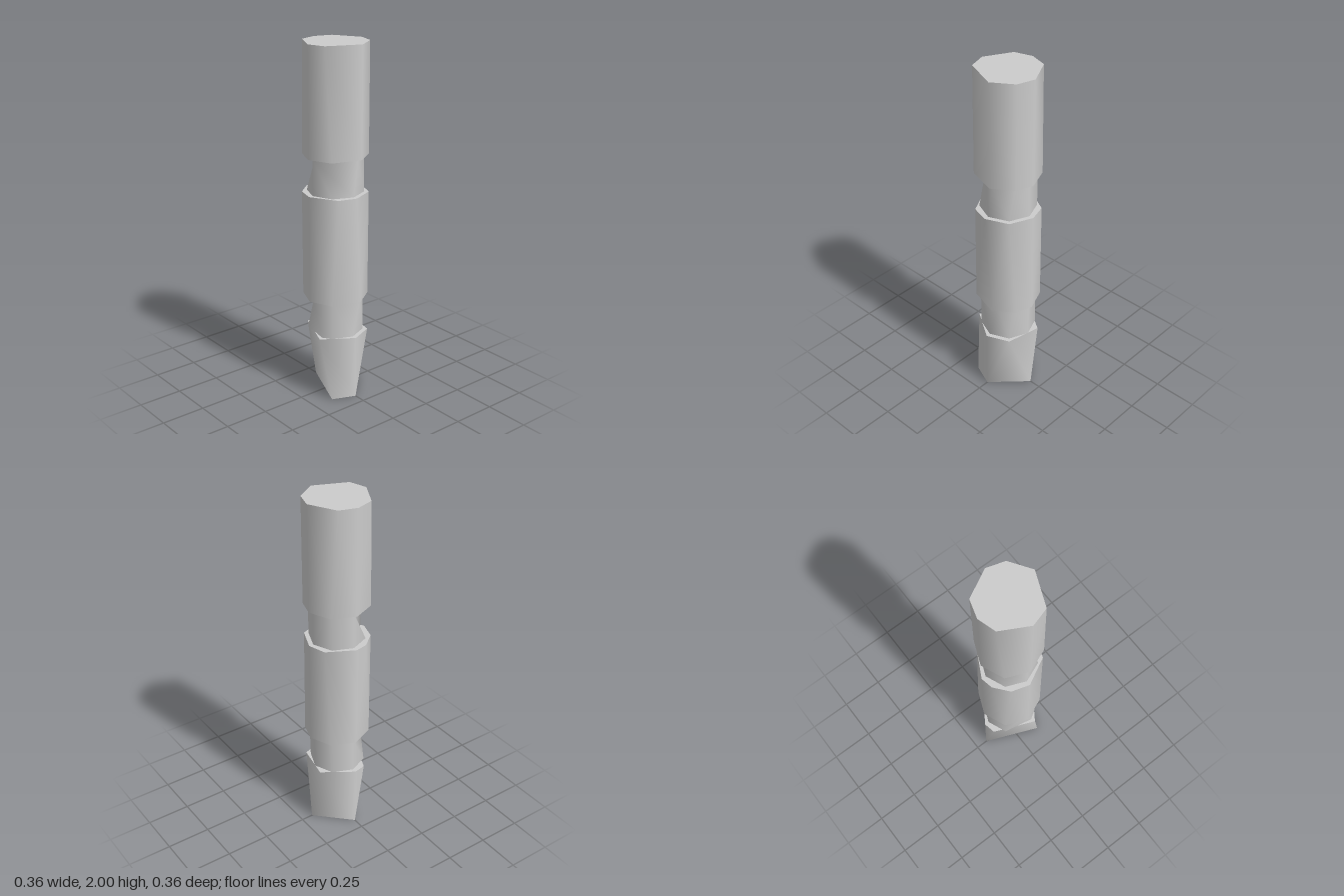
import * as THREE from 'three';

const SIDES = 32;

// Corner k of a 32-step circle; k grows counterclockwise seen from above
const corner = (k, r, y) => {
  const a = (k / SIDES) * Math.PI * 2;
  return [r * Math.cos(a), y, -r * Math.sin(a)];
};

// Wall between two irregular rings, with smooth radial normals
function wall(low, y0, high, y1, r) {
  const pos = [], nor = [], idx = [];
  const add = (ks, y) => {
    [...ks, ks[0] + SIDES].forEach((k) => {
      pos.push(...corner(k, r, y));
      nor.push(...corner(k, 1, 0));
    });
  };
  add(low, y0);
  add(high, y1);
  const n = low.length, m = high.length, top = n + 1;
  const at = (ks, i) => (i < ks.length ? ks[i] : ks[i - ks.length] + SIDES);
  let i = 0, j = 0;
  while (i < n || j < m) {
    const stepLow = j >= m || (i < n && at(low, i + 1) <= at(high, j + 1));
    if (stepLow) {
      idx.push(i, i + 1, top + j);
      i++;
    } else {
      idx.push(i, top + j + 1, top + j);
      j++;
    }
  }
  return build(pos, nor, idx);
}

// Flat polygon closing a ring, facing up (1) or down (-1)
function cap(ks, y, r, dir) {
  const pos = [], nor = [], idx = [];
  ks.forEach((k, i) => {
    pos.push(...corner(k, r, y));
    nor.push(0, dir, 0);
    if (i > 1) idx.push(0, ...(dir > 0 ? [i - 1, i] : [i, i - 1]));
  });
  return build(pos, nor, idx);
}

function build(pos, nor, idx) {
  const g = new THREE.BufferGeometry();
  g.setAttribute('position', new THREE.Float32BufferAttribute(pos, 3));
  g.setAttribute('normal', new THREE.Float32BufferAttribute(nor, 3));
  g.setIndex(idx);
  return g;
}

export function createModel() {
  const model = new THREE.Group();
  model.name = 'post';
  const grey = new THREE.MeshStandardMaterial({ color: 0xcccccc, side: THREE.DoubleSide });
  grey.name = 'grey';

  const R = 0.182, N = 0.156;
  // Thick drums and narrow necks from the ground up; the lowest end is open
  const sections = [
    { name: 'baseDrum', r: R, y0: 0, y1: 0.365, low: [0, 8, 16, 28], high: [0, 4, 10, 16, 18, 26], caps: [0, 1] },
    { name: 'lowerNeck', r: N, y0: 0.365, y1: 0.575, low: [0, 4, 8, 12, 16, 20, 26, 28], high: [2, 5, 8, 12, 16, 24, 28], caps: [0, 0] },
    { name: 'middleDrum', r: R, y0: 0.575, y1: 1.185, low: [1, 5, 8, 12, 16, 20, 24, 28], high: [0, 4, 8, 11, 16, 18, 21, 24, 29], caps: [1, 1] },
    { name: 'upperNeck', r: N, y0: 1.185, y1: 1.39, low: [0, 4, 8, 12, 16, 20, 24, 28], high: [1, 5, 8, 12, 16, 24], caps: [0, 0] },
    { name: 'topDrum', r: R, y0: 1.39, y1: 2, low: [1, 5, 8, 12, 16, 20, 24, 28], high: [1, 5, 8, 13, 16, 19, 24, 27], caps: [1, 1] },
  ];

  for (const s of sections) {
    const part = new THREE.Group();
    part.name = s.name;
    const add = (name, geometry) => {
      const mesh = new THREE.Mesh(geometry, grey);
      mesh.name = name;
      part.add(mesh);
    };
    add(s.name + 'Wall', wall(s.low, s.y0, s.high, s.y1, s.r));
    if (s.caps[0]) add(s.name + 'Underside', cap(s.low, s.y0, s.r, -1));
    if (s.caps[1]) add(s.name + 'Top', cap(s.high, s.y1, s.r, 1));
    model.add(part);
  }
  return model;
}
